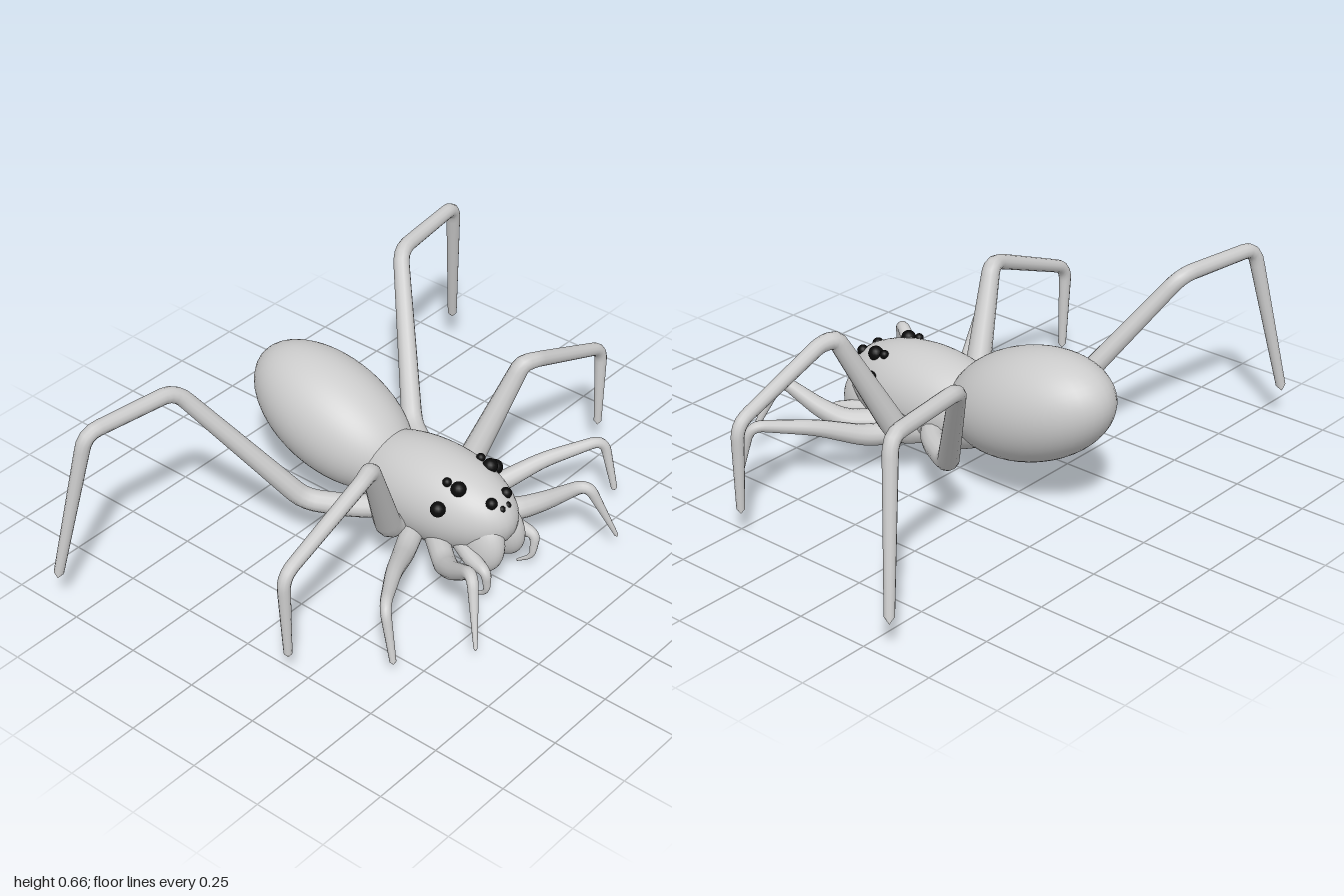
import * as THREE from 'three';

const grey = new THREE.MeshStandardMaterial({ color: 0xcccccc });
const black = new THREE.MeshStandardMaterial({ color: 0x0a0a0a });

function ellipsoid(name, center, radii, tilt = [0, 0, 0], material = grey, detail = 40) {
  const mesh = new THREE.Mesh(new THREE.SphereGeometry(1, detail, Math.round(detail * 0.7)), material);
  mesh.name = name;
  mesh.position.set(...center);
  mesh.scale.set(...radii);
  mesh.rotation.set(...tilt);
  return mesh;
}

// Tapered limb through joints [x, y, z, radius], straight between rounded bends
function limb(name, joints, side) {
  const points = joints.map(([x, y, z]) => new THREE.Vector3(side * x, y, z));
  const path = new THREE.CurvePath();
  let start = points[0];
  for (let i = 1; i < points.length - 1; i++) {
    const [a, b, c] = [points[i - 1], points[i], points[i + 1]];
    const bend = Math.min(0.05, a.distanceTo(b) * 0.4, b.distanceTo(c) * 0.4);
    const before = b.clone().add(a.clone().sub(b).setLength(bend));
    const after = b.clone().add(c.clone().sub(b).setLength(bend));
    path.add(new THREE.LineCurve3(start, before));
    path.add(new THREE.QuadraticBezierCurve3(before, b, after));
    start = after;
  }
  path.add(new THREE.LineCurve3(start, points[points.length - 1]));

  // Distance along the limb at each joint, as a fraction
  const reach = [0];
  for (let i = 1; i < points.length; i++) reach.push(reach[i - 1] + points[i].distanceTo(points[i - 1]));
  const total = reach[reach.length - 1];
  const radiusAt = (u) => {
    let i = 1;
    while (i < reach.length - 1 && reach[i] < u * total) i++;
    const t = (u * total - reach[i - 1]) / (reach[i] - reach[i - 1]);
    return THREE.MathUtils.lerp(joints[i - 1][3], joints[i][3], THREE.MathUtils.clamp(t, 0, 1));
  };

  // Scale each ring of a unit tube to its radius; the end rings close to a point
  const rings = 72, sides = 12;
  const geometry = new THREE.TubeGeometry(path, rings, 1, sides, false);
  const position = geometry.attributes.position;
  const vertex = new THREE.Vector3();
  for (let i = 0; i <= rings; i++) {
    const center = path.getPointAt(i / rings);
    const radius = i === 0 || i === rings ? 0 : radiusAt(i / rings);
    for (let j = 0; j <= sides; j++) {
      const k = i * (sides + 1) + j;
      vertex.fromBufferAttribute(position, k).sub(center).multiplyScalar(radius).add(center);
      position.setXYZ(k, vertex.x, vertex.y, vertex.z);
    }
  }
  const mesh = new THREE.Mesh(geometry, grey);
  mesh.name = name;
  return mesh;
}

const limbs = {
  BackLeg: [[0.08, 0.18, 0.05, 0.04], [0.18, 0.185, -0.04, 0.038], [0.27, 0.195, -0.185, 0.036],
    [0.545, 0.64, -0.465, 0.027], [0.885, 0.64, -0.51, 0.025], [0.985, 0.105, -0.588, 0.016]],
  ThirdLeg: [[0.08, 0.15, 0.08, 0.045], [0.19, 0.18, 0.1, 0.045], [0.375, 0.545, 0.185, 0.03],
    [0.43, 0.54, 0.2, 0.026], [0.795, 0.4, 0.203, 0.022], [0.79, 0.09, 0.208, 0.013]],
  SecondLeg: [[0.08, 0.14, 0.12, 0.04], [0.23, 0.145, 0.195, 0.036], [0.38, 0.205, 0.28, 0.027],
    [0.56, 0.242, 0.395, 0.018], [0.573, 0.045, 0.44, 0.01]],
  FrontLeg: [[0.08, 0.14, 0.2, 0.04], [0.19, 0.14, 0.33, 0.038], [0.235, 0.18, 0.4, 0.032],
    [0.295, 0.27, 0.52, 0.02], [0.37, 0.05, 0.597, 0.006]],
  Feeler: [[0.07, 0.16, 0.28, 0.03], [0.115, 0.14, 0.38, 0.028], [0.127, 0.13, 0.445, 0.018],
    [0.118, 0.045, 0.443, 0.009], [0.11, 0.005, 0.385, 0.004]],
};

// x, y, z, radius
const eyes = [
  [0.08, 0.355, 0.292, 0.025], [0.085, 0.365, 0.25, 0.015], [0.146, 0.3, 0.263, 0.025],
  [0.037, 0.32, 0.39, 0.019], [0.014, 0.296, 0.413, 0.013],
];

export function createModel() {
  const model = new THREE.Group();
  model.name = 'spider';

  // Body
  model.add(ellipsoid('headAndThorax', [0, 0.234, 0.13], [0.162, 0.164, 0.32]));
  model.add(ellipsoid('abdomen', [0, 0.335, -0.295], [0.185, 0.185, 0.32], [0.345, 0, 0]));

  for (const side of [1, -1]) {
    const prefix = side > 0 ? 'left' : 'right';
    // Jaw lobes
    model.add(ellipsoid(prefix + 'Jaw', [side * 0.05, 0.172, 0.365], [0.056, 0.105, 0.084],
      [-0.25, 0, side * 0.12], grey, 28));
    // Legs and feelers
    for (const [name, joints] of Object.entries(limbs)) model.add(limb(prefix + name, joints, side));
    // Eyes
    eyes.forEach(([x, y, z, r], i) => {
      model.add(ellipsoid(prefix + 'Eye' + (i + 1), [side * x, y, z], [r, r, r], [0, 0, 0], black, 16));
    });
  }
  return model;
}
